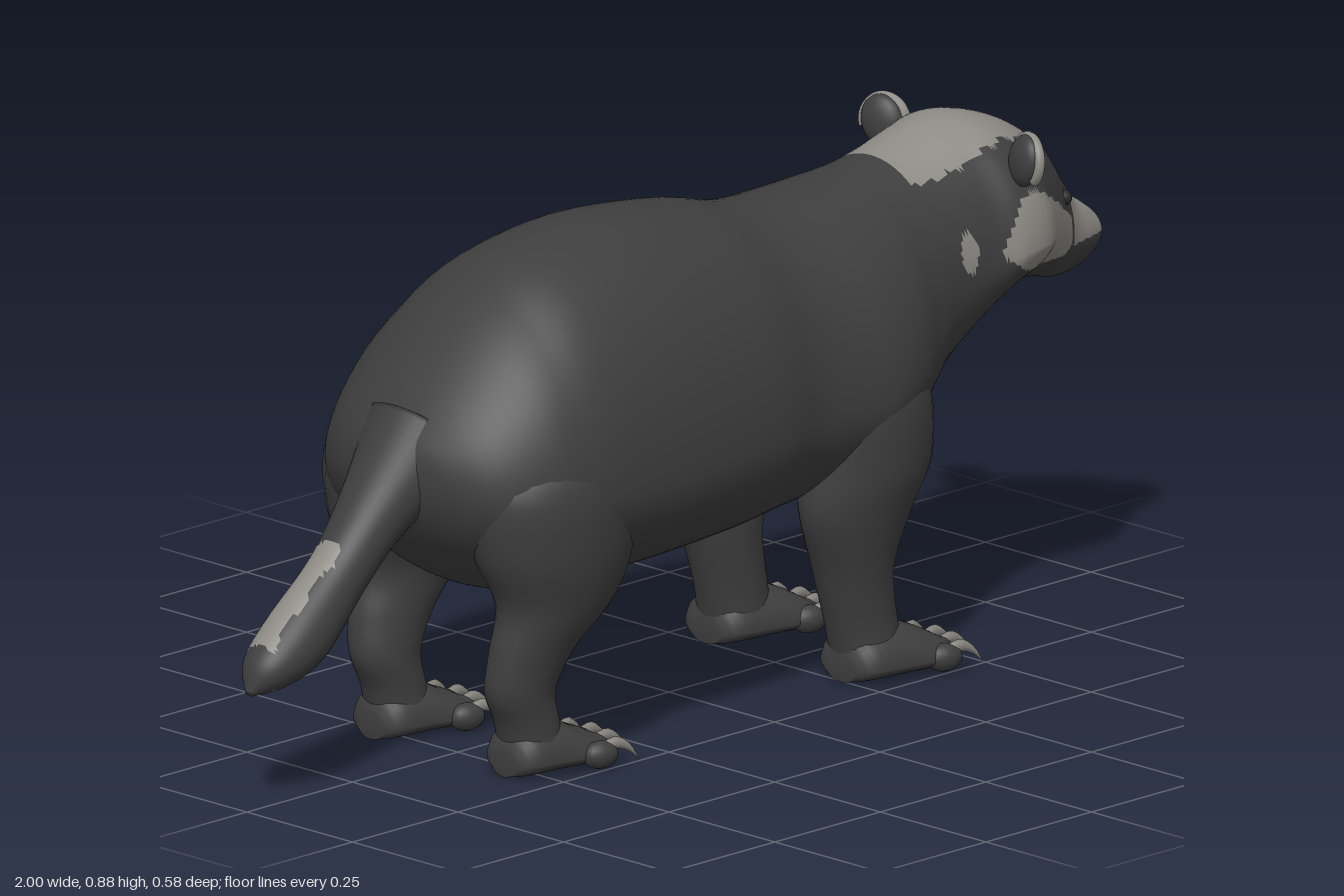
import * as THREE from 'three';

const mat = (name, hex) => {
  const m = new THREE.MeshStandardMaterial({ color: hex });
  m.name = name;
  return m;
};

// Catmull-Rom interpolation of every column of a station table
function sample(rows, t) {
  const n = rows.length - 1, f = Math.min(t * n, n - 1e-6), i = Math.floor(f), k = f - i;
  const at = j => rows[Math.max(0, Math.min(n, j))];
  return rows[0].map((_, c) => {
    const [a, b, d, e] = [at(i - 1)[c], at(i)[c], at(i + 1)[c], at(i + 2)[c]];
    return b + 0.5 * k * (d - a + k * (2 * a - 5 * b + 4 * d - e + k * (3 * (b - d) + e - a)));
  });
}

// Piecewise linear lookup in [x, y] pairs
function lerpTable(table, x) {
  if (x <= table[0][0]) return table[0][1];
  for (let i = 1; i < table.length; i++) {
    const [x0, y0] = table[i - 1], [x1, y1] = table[i];
    if (x <= x1) return y0 + (y1 - y0) * (x - x0) / (x1 - x0);
  }
  return table[table.length - 1][1];
}

// Closed smooth skin through cross-sections; pick(x,y,z) gives each face its material index
function loft(rows, rings, sides, point, pick = () => 0) {
  const pos = [], faces = [];
  for (let i = 0; i <= rings; i++) {
    const s = sample(rows, i / rings);
    for (let j = 0; j < sides; j++) pos.push(...point(s, j / sides * Math.PI * 2));
  }
  for (const i of [0, rings]) {
    const c = [0, 0, 0];
    for (let j = 0; j < sides * 3; j++) c[j % 3] += pos[i * sides * 3 + j] / sides;
    pos.push(...c);
  }
  const endA = (rings + 1) * sides, endB = endA + 1;
  for (let j = 0; j < sides; j++) {
    const k = (j + 1) % sides;
    for (let i = 0; i < rings; i++) {
      const a = i * sides + j, b = i * sides + k;
      faces.push([a, b, a + sides], [b, b + sides, a + sides]);
    }
    faces.push([endA, k, j], [endB, rings * sides + j, rings * sides + k]);
  }
  const v = i => new THREE.Vector3().fromArray(pos, i * 3);
  let volume = 0;
  const sorted = [[], []];
  for (const f of faces) {
    const [a, b, c] = f.map(v);
    volume += a.dot(b.clone().cross(c));
    a.add(b).add(c).divideScalar(3);
    sorted[pick(a.x, a.y, a.z)].push(f);
  }
  const geo = new THREE.BufferGeometry();
  geo.setAttribute('position', new THREE.Float32BufferAttribute(pos, 3));
  geo.setIndex(sorted.flat().flatMap(f => volume < 0 ? [f[0], f[2], f[1]] : f));
  geo.addGroup(0, sorted[0].length * 3, 0);
  if (sorted[1].length) geo.addGroup(sorted[0].length * 3, sorted[1].length * 3, 1);
  geo.computeVertexNormals();
  return geo;
}

// Pale face markings
const crownHalf = [[0.48, 0.09], [0.52, 0.105], [0.65, 0.11], [0.75, 0.09], [0.84, 0.058], [0.9, 0.045]];
const cheekTop = [[0.615, 0.68], [0.66, 0.765], [0.7, 0.77], [0.8, 0.715], [0.875, 0.665]];
const cheekLow = [[0.615, 0.67], [0.66, 0.64], [0.75, 0.615], [0.85, 0.605], [0.875, 0.62]];
function bodyPaint(x, y, z) {
  const w = Math.abs(z) + 0.004 * Math.sin(x * 130 + y * 90);
  if (x > 0.48 && x < 0.9 && y > 0.69 && w < lerpTable(crownHalf, x)) return 1;
  if (x >= 0.885 && x < 0.988 && y > 0.612) return 1;
  if (x > 0.615 && x < 0.875 && y < lerpTable(cheekTop, x) && y > lerpTable(cheekLow, x)) return 1;
  if (z > 0 && Math.hypot((x - 0.545) / 0.02, (y - 0.69) / 0.036) < 1) return 1;
  if (z < 0 && x > 0.5 && x < 0.66 && Math.abs(y - (0.545 + (x - 0.5) * 0.85)) < 0.04) return 1;
  if (z < 0 && y > 0.5 && Math.hypot((x - 0.25) / 0.024, (z + 0.165) / 0.014) < 1) return 1;
  return 0;
}

export function createModel() {
  const model = new THREE.Group();
  const dark = mat('charcoalFur', 0x3e3e3e);
  const pale = mat('paleGreyFur', 0x8e8b85);
  const black = mat('noseAndEyes', 0x2b2b2b);
  const horn = mat('clawHorn', 0x85827c);
  const add = (parent, name, geo, material) => {
    const m = new THREE.Mesh(geo, material);
    m.name = name;
    parent.add(m);
    return m;
  };

  // Torso, neck and head: x, top, bottom, half width, height of widest point, lower taper
  const body = [
    [-0.68, 0.57, 0.50, 0.04, 0.53, 1], [-0.655, 0.61, 0.44, 0.13, 0.52, 1],
    [-0.61, 0.67, 0.38, 0.205, 0.50, 1], [-0.54, 0.745, 0.32, 0.255, 0.49, 1],
    [-0.47, 0.80, 0.29, 0.278, 0.49, 1], [-0.37, 0.855, 0.28, 0.288, 0.49, 1],
    [-0.2, 0.88, 0.278, 0.285, 0.49, 1], [0, 0.863, 0.285, 0.27, 0.5, 1],
    [0.12, 0.835, 0.295, 0.247, 0.5, 1], [0.2, 0.825, 0.305, 0.245, 0.5, 1],
    [0.3, 0.824, 0.32, 0.252, 0.51, 1], [0.38, 0.827, 0.34, 0.235, 0.54, 1],
    [0.45, 0.835, 0.38, 0.202, 0.57, 1], [0.52, 0.85, 0.435, 0.178, 0.62, 1],
    [0.6, 0.873, 0.49, 0.176, 0.65, 1.1], [0.66, 0.88, 0.535, 0.194, 0.67, 1.25],
    [0.72, 0.868, 0.555, 0.186, 0.675, 1.35], [0.78, 0.842, 0.56, 0.145, 0.67, 1.3],
    [0.84, 0.80, 0.555, 0.104, 0.65, 1.1], [0.885, 0.745, 0.545, 0.076, 0.63, 1],
    [0.92, 0.692, 0.545, 0.062, 0.62, 1], [0.96, 0.665, 0.555, 0.05, 0.612, 1],
    [0.988, 0.643, 0.575, 0.038, 0.61, 1], [0.998, 0.62, 0.592, 0.018, 0.606, 1],
  ];
  add(model, 'bodyAndHead', loft(body, 300, 96, ([x, top, bot, hw, mid, taper], a) => {
    const c = Math.cos(a), s = Math.sin(a), p = s < 0 ? taper : 1;
    const y = s > 0 ? mid + (top - mid) * s : mid - (mid - bot) * Math.pow(-s, p);
    return [x, y, hw * Math.sign(c) * Math.pow(Math.abs(c), p)];
  }, bodyPaint), [dark, pale]);

  // Tail: x, y, thickness radius, width radius
  const tail = [
    [-0.58, 0.57, 0.1, 0.11], [-0.70, 0.465, 0.06, 0.068], [-0.785, 0.375, 0.052, 0.055],
    [-0.885, 0.282, 0.058, 0.06], [-0.955, 0.237, 0.04, 0.046], [-0.995, 0.208, 0.007, 0.008],
  ];
  add(model, 'tail', loft(tail, 60, 40, ([x, y, r, w], a) =>
    [x - 0.7 * r * Math.sin(a), y + 0.71 * r * Math.sin(a), w * Math.cos(a)],
  (x, y, z) => x < -0.8 && x > -0.965 && y - x > 1.17 && z < 0.022 + 0.006 * Math.sin(x * 90) ? 1 : 0),
  [dark, pale]);

  // Legs: y, centre x, centre z, radius x, radius z; paws: x, height, half width
  const legs = {
    front: {
      leg: [[0.6, 0.31, 0.13, 0.08, 0.07], [0.5, 0.305, 0.15, 0.13, 0.098], [0.38, 0.3, 0.162, 0.135, 0.09],
        [0.3, 0.28, 0.164, 0.115, 0.074], [0.2, 0.28, 0.156, 0.077, 0.063], [0.1, 0.3, 0.154, 0.066, 0.058],
        [0.03, 0.315, 0.158, 0.065, 0.065]],
      paw: [[0.245, 0.05, 0.035], [0.265, 0.085, 0.065], [0.33, 0.1, 0.078], [0.39, 0.08, 0.09],
        [0.43, 0.06, 0.088], [0.455, 0.045, 0.06]],
      toeX: 0.43, z: 0.16,
    },
    hind: {
      leg: [[0.62, -0.42, 0.13, 0.1, 0.09], [0.52, -0.45, 0.15, 0.165, 0.13], [0.4, -0.445, 0.168, 0.16, 0.116],
        [0.3, -0.447, 0.178, 0.117, 0.084], [0.22, -0.49, 0.168, 0.085, 0.062], [0.15, -0.512, 0.16, 0.067, 0.054],
        [0.09, -0.495, 0.158, 0.057, 0.054], [0.03, -0.48, 0.158, 0.058, 0.06]],
      paw: [[-0.55, 0.05, 0.03], [-0.53, 0.085, 0.058], [-0.47, 0.1, 0.07], [-0.42, 0.075, 0.082],
        [-0.385, 0.06, 0.08], [-0.355, 0.045, 0.055]],
      toeX: -0.383, z: 0.158,
    },
  };
  const claw = [[0, 0.04, 0.011], [0.025, 0.046, 0.011], [0.05, 0.034, 0.007], [0.066, 0.012, 0.001]];
  const clawGeo = loft(claw, 8, 8, ([x, y, r], a) => [x, y + r * Math.sin(a), r * 0.8 * Math.cos(a)]);
  for (const [kind, d] of Object.entries(legs)) for (const side of [1, -1]) {
    const limb = new THREE.Group();
    limb.name = kind + (side > 0 ? 'LegNear' : 'LegFar');
    model.add(limb);
    add(limb, 'leg', loft(d.leg, 40, 32, ([y, x, z, rx, rz], a) =>
      [x + rx * Math.cos(a), y, side * (z + rz * Math.sin(a))]), dark);
    add(limb, 'paw', loft(d.paw, 20, 28, ([x, h, w], a) => {
      const s = Math.sin(a);
      return [x, 0.028 + s * (s > 0 ? h - 0.028 : 0.025), side * d.z + w * Math.cos(a)];
    }), dark);
    // Five toes with curved claws, fanned out
    for (let i = -2; i <= 2; i++) {
      const toe = new THREE.Group();
      toe.name = 'toe';
      toe.position.set(d.toeX - 0.007 * i * i, 0, side * d.z + i * 0.04);
      toe.rotation.y = -i * 0.16;
      limb.add(toe);
      const pad = add(toe, 'toePad', new THREE.SphereGeometry(0.024, 16, 12), dark);
      pad.position.set(0.008, 0.029, 0);
      pad.scale.set(1.35, 1, 0.88);
      add(toe, 'claw', clawGeo, horn).position.x = 0.014;
    }
  }

  // Ears with pale rims, and eyes
  for (const side of [1, -1]) {
    const ear = new THREE.Group();
    ear.name = side > 0 ? 'earNear' : 'earFar';
    ear.position.set(0.675, 0.825, side * 0.168);
    ear.rotation.set(side * 0.35, -side * 0.3, 0);
    model.add(ear);
    add(ear, 'earShell', new THREE.SphereGeometry(1, 24, 16), dark).scale.set(0.022, 0.046, 0.04);
    const rim = add(ear, 'earRim', new THREE.TorusGeometry(0.04, 0.0095, 10, 28, Math.PI * 1.15), pale);
    rim.rotation.y = Math.PI / 2;
    rim.position.x = 0.006;
    const eye = add(model, 'eye', new THREE.SphereGeometry(0.014, 16, 12), black);
    eye.position.set(0.853, 0.705, side * 0.082);
  }

  // Nose with nostrils
  const nose = add(model, 'nose', new THREE.SphereGeometry(1, 24, 16), dark);
  nose.scale.set(0.024, 0.024, 0.038);
  nose.position.set(0.976, 0.604, 0);
  for (const side of [1, -1]) {
    const nostril = add(model, 'nostril', new THREE.SphereGeometry(0.009, 12, 8), black);
    nostril.position.set(0.99, 0.604, side * 0.02);
  }
  return model;
}
